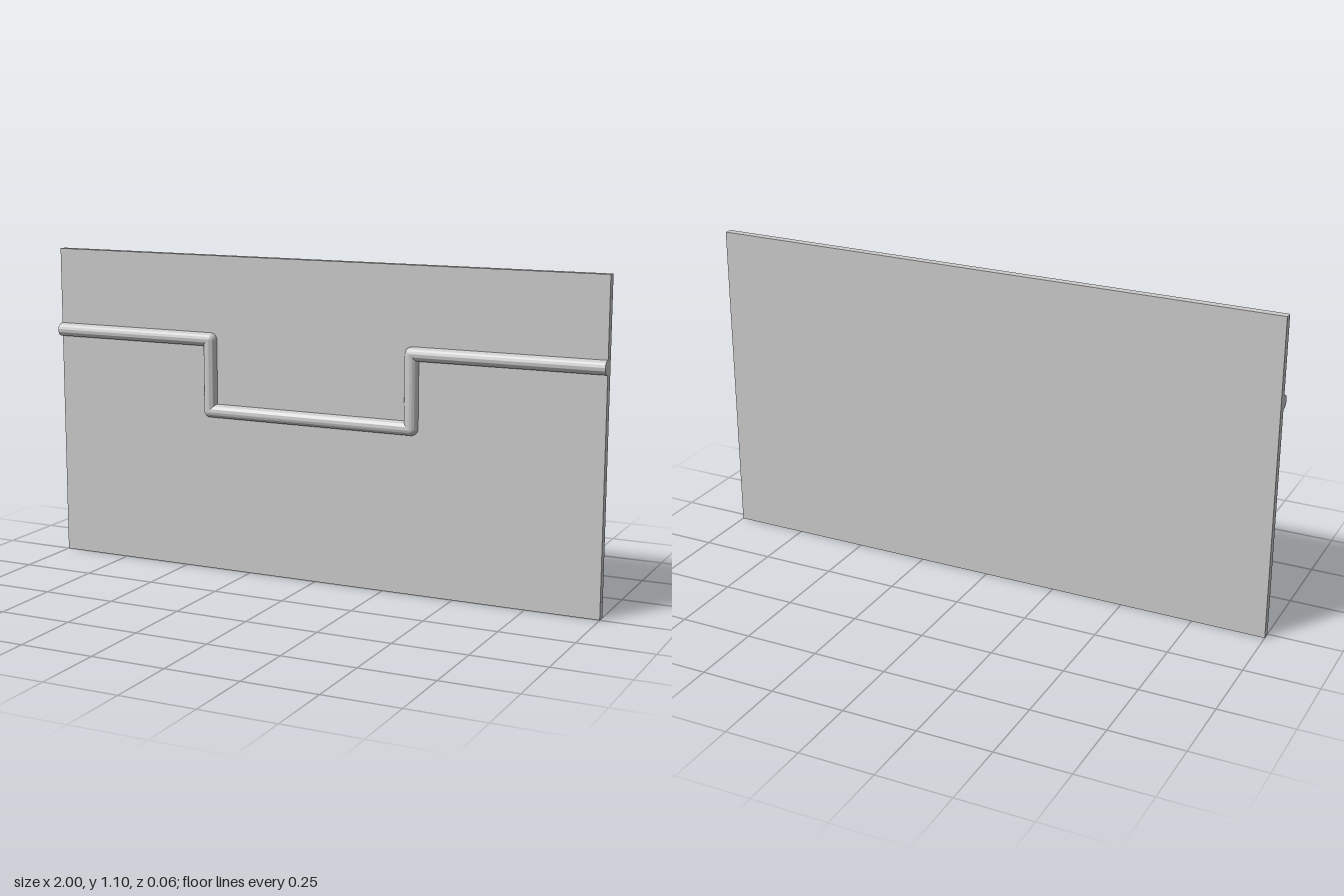
import * as THREE from 'three';
import { toCreasedNormals } from 'three/addons/utils/BufferGeometryUtils.js';

const R = 0.023;      // half width of the rail
const DEPTH = 0.028;  // how far the rail stands out, also the panel thickness
const HEIGHT = 1.095;

export function createModel() {
  const group = new THREE.Group();
  const material = new THREE.MeshStandardMaterial({ color: 0xcccccc });
  const add = (geometry, name) => {
    const mesh = new THREE.Mesh(geometry, material);
    mesh.name = name;
    group.add(mesh);
    return mesh;
  };

  // Flat backing panel
  add(new THREE.BoxGeometry(2, HEIGHT, DEPTH), 'panel').position.set(0, HEIGHT / 2, -DEPTH / 2);

  // Rounded rail section, flat against the panel
  const section = new THREE.Shape();
  section.moveTo(-R, 0);
  section.lineTo(R, 0);
  section.lineTo(R, DEPTH - R);
  section.absarc(0, DEPTH - R, R, 0, Math.PI, false);
  section.closePath();

  // Domed corner with the same section
  const dome = [new THREE.Vector2(R, 0)];
  for (let i = 0; i <= 10; i++) {
    const a = (i / 10) * Math.PI / 2;
    dome.push(new THREE.Vector2(R * Math.cos(a), DEPTH - R + R * Math.sin(a)));
  }
  const corner = new THREE.LatheGeometry(dome, 32).rotateX(Math.PI / 2);

  // Stepped rail across the front
  const path = [[-1, 0.808], [-0.395, 0.808], [-0.395, 0.562], [0.35, 0.562], [0.35, 0.808], [1, 0.808]]
    .map(([x, y]) => new THREE.Vector3(x, y, 0));
  const out = new THREE.Vector3(0, 0, 1);
  for (let i = 0; i < path.length - 1; i++) {
    const along = path[i + 1].clone().sub(path[i]);
    const depth = along.length();
    along.normalize();
    const run = new THREE.ExtrudeGeometry(section, { depth, bevelEnabled: false, curveSegments: 20 });
    run.applyMatrix4(new THREE.Matrix4()
      .makeBasis(out.clone().cross(along), out, along)
      .setPosition(path[i]));
    add(toCreasedNormals(run, 0.6), 'railRun');
    if (i > 0) add(corner, 'railCorner').position.copy(path[i]);
  }
  return group;
}
